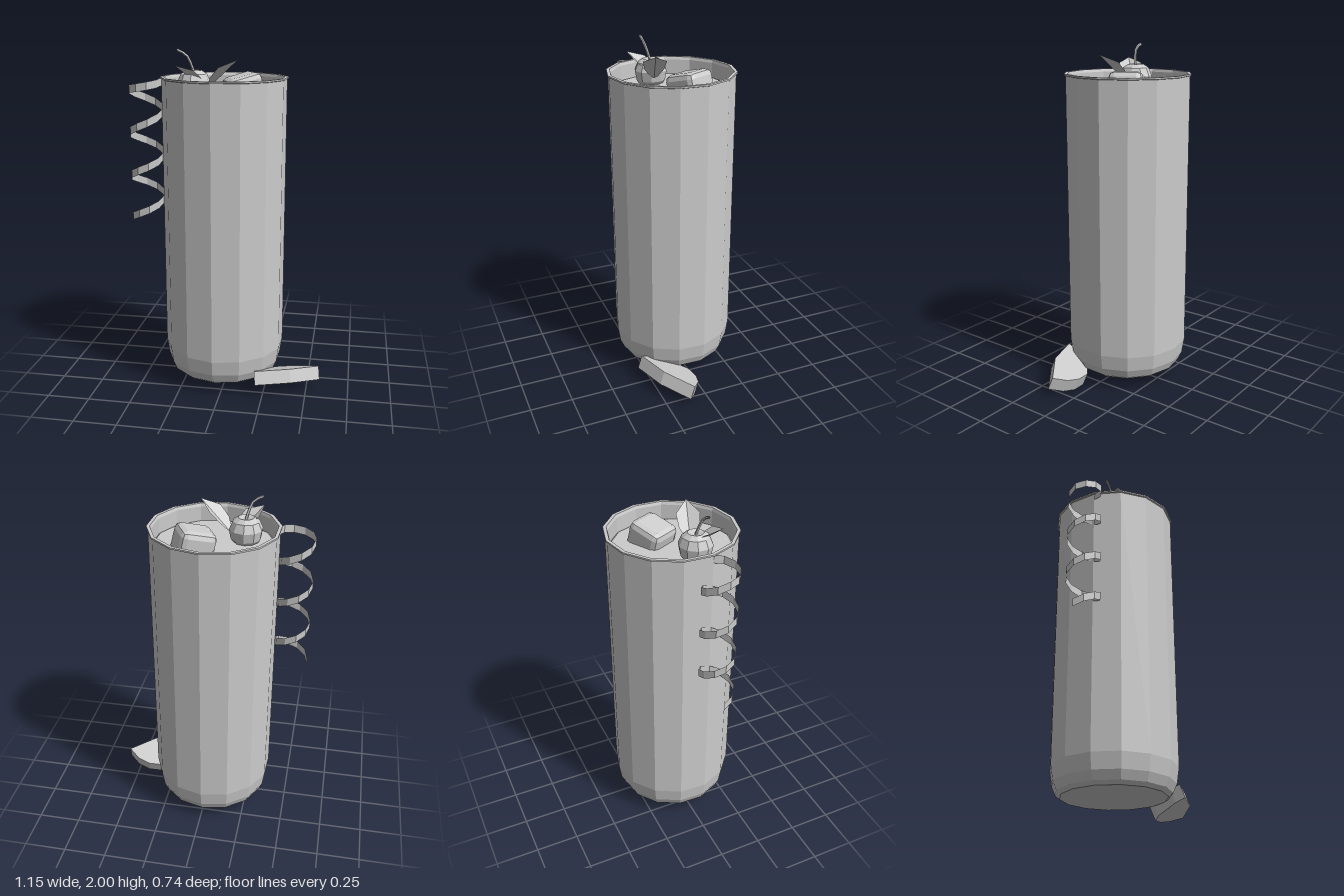
import * as THREE from 'three';
import { RoundedBoxGeometry } from 'three/addons/geometries/RoundedBoxGeometry.js';

const V = (x, y, z) => new THREE.Vector3(x, y, z);

// Open grid surface from rows of points (each row the same length)
function gridSurface(rows) {
  const n = rows[0].length, index = [];
  for (let i = 0; i < rows.length - 1; i++) {
    for (let j = 0; j < n - 1; j++) {
      const a = i * n + j, b = a + n;
      index.push(a, b, a + 1, b, b + 1, a + 1);
    }
  }
  const geo = new THREE.BufferGeometry().setFromPoints(rows.flat());
  geo.setIndex(index);
  geo.computeVertexNormals();
  return geo;
}

// Folded leaf running from base to tip
function leafGeometry(base, tip) {
  const along = tip.clone().sub(base);
  const side = along.clone().cross(V(0, 1, 0)).normalize();
  const up = side.clone().cross(along).normalize();
  const rows = [[0, 0.02], [0.25, 0.055], [0.6, 0.066], [1, 0]].map(([s, w]) =>
    [-1, 0, 1].map(k => base.clone().addScaledVector(along, s)
      .addScaledVector(side, k * w)
      .addScaledVector(up, Math.abs(k) * w * 0.4)));
  return gridSurface(rows);
}

export function createModel() {
  const group = new THREE.Group();
  const grey = new THREE.MeshStandardMaterial({ color: 0xcccccc, flatShading: true, side: THREE.DoubleSide });
  grey.name = 'plain grey';

  const add = (name, geo, x = 0, y = 0, z = 0) => {
    const mesh = new THREE.Mesh(geo, grey);
    mesh.name = name;
    mesh.position.set(x, y, z);
    group.add(mesh);
    return mesh;
  };
  const lathe = (pts, sides) =>
    new THREE.LatheGeometry(pts.map(p => new THREE.Vector2(...p)), sides);

  // Tall tumbler with a rounded foot and thin flared rim
  const glass = add('glass', lathe([
    [0, 0.065], [0.3, 0.065], [0.325, 0.085], [0.347, 0.135], [0.361, 0.225],
    [0.361, 1.83], [0.369, 1.833], [0.369, 1.842], [0.35, 1.842], [0.344, 1.825], [0.344, 1.7],
  ], 14), -0.025, 0, -0.002);
  glass.rotation.y = -0.038;

  // Drink surface
  const drink = add('drink', lathe([[0.344, 1.735], [0.334, 1.742], [0, 1.742]], 14), -0.025, 0, -0.002);
  drink.rotation.y = -0.038;

  // Tilted ice cube
  const ice = add('iceCube', new RoundedBoxGeometry(0.205, 0.2, 0.195, 1, 0.035), 0.08, 1.75, -0.075);
  ice.rotation.set(0, 0.48, 0.25, 'YXZ');

  // Cherry and its bent stem
  add('cherry', lathe([
    [0, -0.085], [0.05, -0.078], [0.085, -0.035], [0.095, 0.02], [0.075, 0.065], [0.045, 0.085], [0, 0.07],
  ], 10), -0.19, 1.795, 0.06);
  const stem = new THREE.CatmullRomCurve3([
    V(-0.187, 1.86, 0.06), V(-0.2, 1.91, 0.072), V(-0.225, 1.965, 0.085), V(-0.278, 1.994, 0.088),
  ]);
  add('cherryStem', new THREE.TubeGeometry(stem, 5, 0.008, 5));

  // Mint leaves
  add('largeLeaf', leafGeometry(V(-0.095, 1.79, 0.075), V(0.075, 1.945, 0.13)));
  add('smallLeaf', leafGeometry(V(-0.15, 1.79, 0.06), V(-0.275, 1.913, 0.175)));

  // Curled peel: vertical ribbon winding down beside the glass
  const peel = [], perTurn = 10;
  for (let i = 0; i <= 3.5 * perTurn; i++) {
    const a = (i / perTurn) * Math.PI * 2;
    const y = a < Math.PI ? 1.815 - 0.05 * a / Math.PI : 1.765 - 0.1275 * (a - Math.PI) / Math.PI;
    const x = -0.476 + 0.1 * Math.cos(a), z = 0.06 + 0.1 * Math.sin(a);
    peel.push([V(x, y - 0.023, z), V(x, y + 0.023, z)]);
  }
  add('peelCurl', gridSurface(peel));

  // Fruit wedge leaning at the foot: flat outline sheared onto a tilted plane
  const outline = [
    [0.2, 0.29], [0.405, 0.225], [0.57, 0.1], [0.56, 0.09], [0.5, 0.045],
    [0.42, 0.025], [0.33, 0.035], [0.265, 0.09], [0.2, 0.23],
  ].map(([x, z]) => new THREE.Vector2(x, -z));
  const wedge = new THREE.ExtrudeGeometry(new THREE.Shape(outline), { depth: 1, bevelEnabled: false });
  wedge.rotateX(-Math.PI / 2);
  const pos = wedge.attributes.position;
  for (let i = 0; i < pos.count; i++) {
    const x = pos.getX(i), z = pos.getZ(i), down = 1 - pos.getY(i);
    pos.setXYZ(i, x + 0.009 * down,
      0.155 + 0.12 * (x - 0.2) + 0.37 * (z - 0.29) - 0.075 * down, z + 0.028 * down);
  }
  wedge.computeVertexNormals();
  add('fruitWedge', wedge);

  return group;
}
